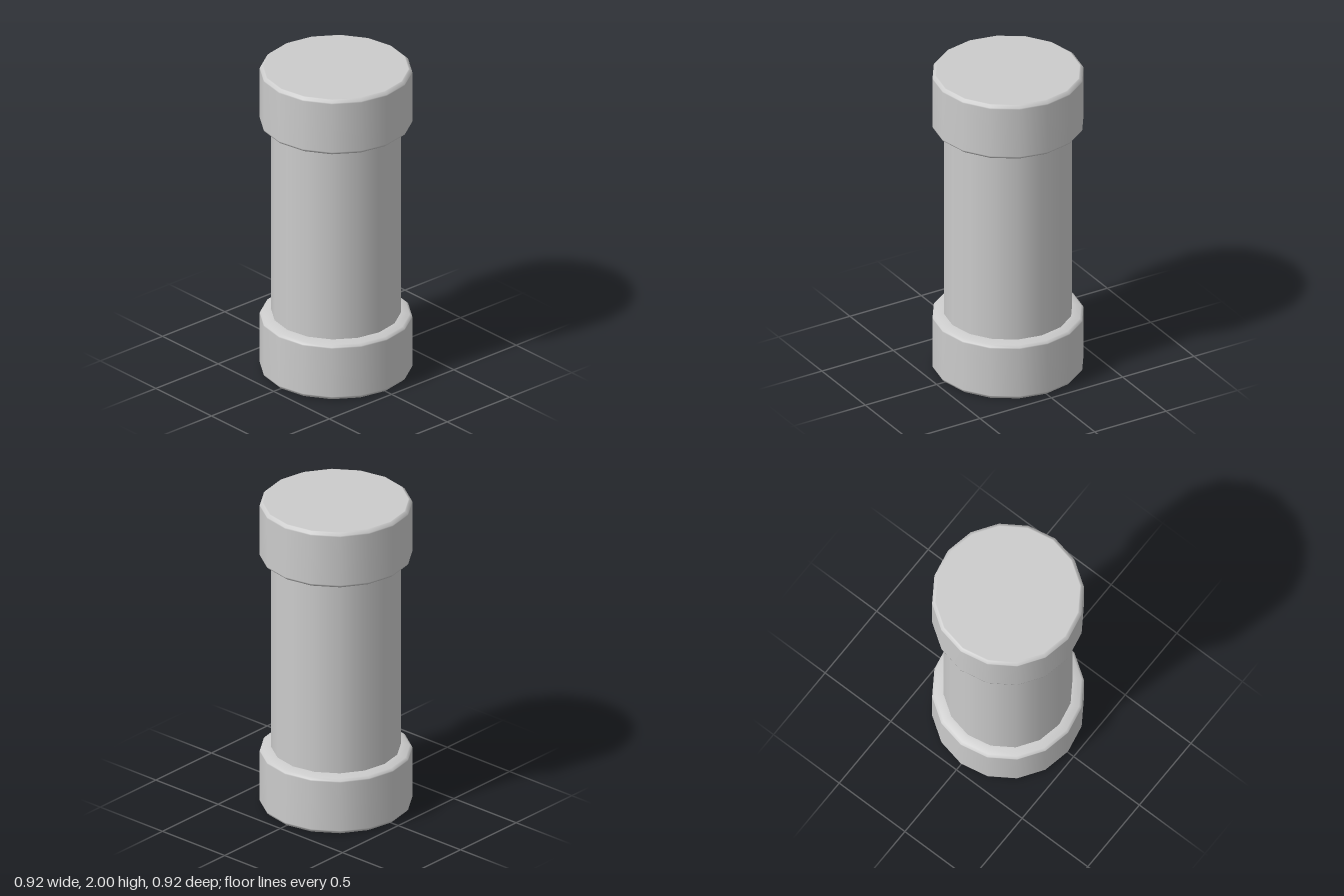
import * as THREE from 'three';

const SIDES = 16;

// Smooth-shaded 16-sided solid of revolution, profile given as [radius, y] from bottom to top
function turned(name, profile, material) {
  const points = profile.map(([r, y]) => new THREE.Vector2(r, y));
  const mesh = new THREE.Mesh(new THREE.LatheGeometry(points, SIDES), material);
  mesh.name = name;
  return mesh;
}

export function createModel() {
  const model = new THREE.Group();
  model.name = 'cappedCylinder';
  const grey = new THREE.MeshStandardMaterial({ color: 0xcccccc });

  // Central barrel, its ends sunk slightly into the caps
  model.add(turned('barrel', [[0.389, 0.36], [0.389, 1.64]], grey));

  // End cap: closed base, softened outer edges, sloping shoulder up to the barrel.
  // Extra rings beside the bevels keep the large faces evenly shaded.
  const capProfile = [
    [0, 0], [0.435, 0], [0.442, 0.001],
    [0.457, 0.016], [0.458, 0.024],
    [0.458, 0.344], [0.457, 0.352],
    [0.442, 0.364], [0.4, 0.373], [0.385, 0.374],
  ];
  const bottomCap = turned('bottomCap', capProfile, grey);
  const topCap = turned('topCap', capProfile, grey);
  topCap.rotation.x = Math.PI;
  topCap.position.y = 2;
  model.add(bottomCap, topCap);

  return model;
}
